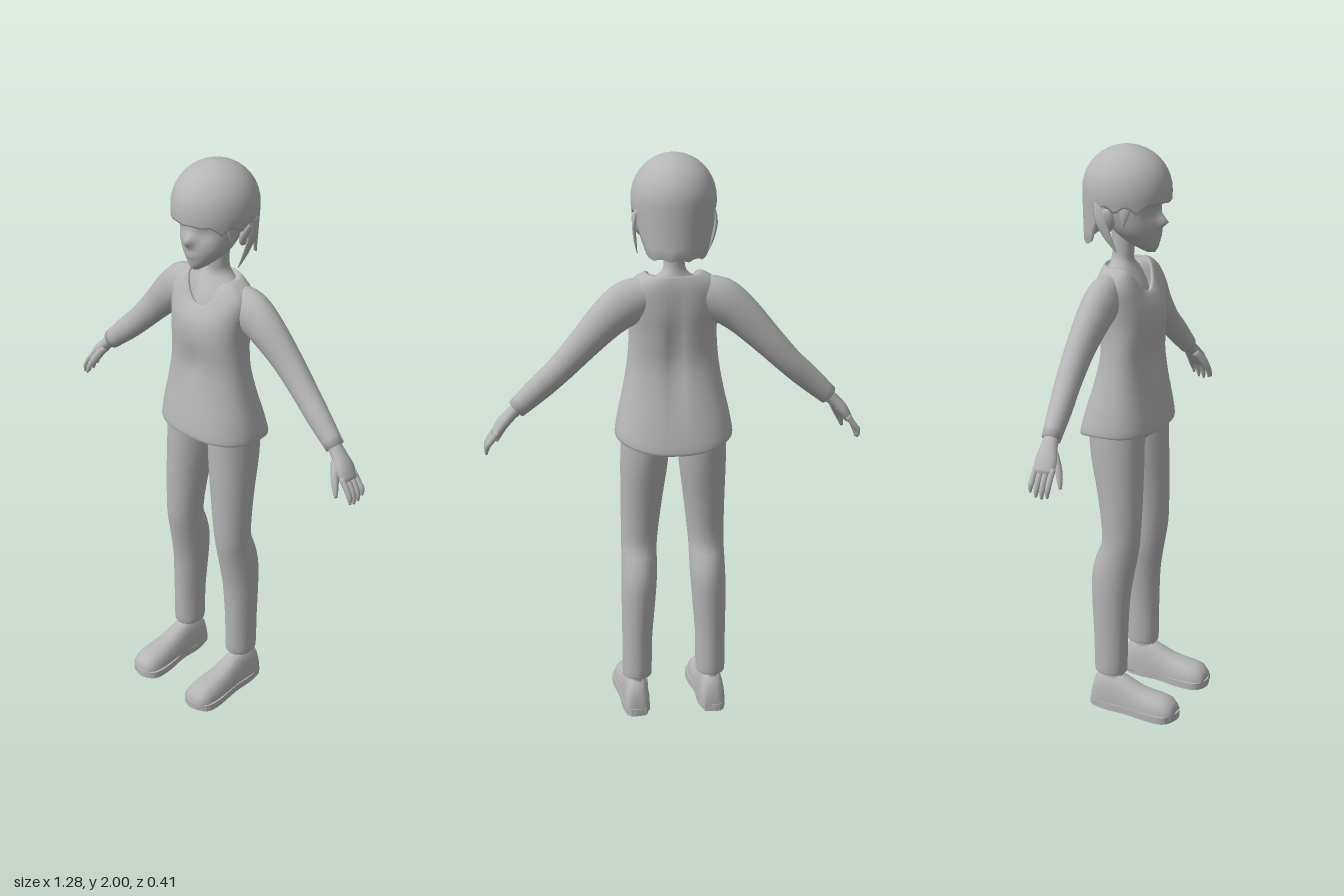
import * as THREE from 'three';

const grey = new THREE.MeshStandardMaterial({ color: 0xb6b6b6, side: THREE.DoubleSide });
grey.name = 'plain grey';
const V = (x, y, z) => new THREE.Vector3(x, y, z);
const spow = (v, p) => Math.sign(v) * Math.abs(v) ** p;
const bell = (v, c, w) => Math.exp(-(((v - c) / w) ** 2));

// Skin a list of closed rings, with a fan at either end
function loft(name, rings) {
  const n = rings[0].length, pos = [], idx = [];
  rings.forEach(r => r.forEach(p => pos.push(p.x, p.y, p.z)));
  for (let i = 0; i < rings.length - 1; i++)
    for (let j = 0; j < n; j++) {
      const a = i * n + j, b = i * n + (j + 1) % n;
      idx.push(a, b, b + n, a, b + n, a + n);
    }
  [0, rings.length - 1].forEach((i, end) => {
    const c = rings[i].reduce((s, p) => s.add(p), V(0, 0, 0)).divideScalar(n);
    const k = pos.length / 3;
    pos.push(c.x, c.y, c.z);
    for (let j = 0; j < n; j++) {
      const a = i * n + j, b = i * n + (j + 1) % n;
      if (end) idx.push(a, b, k);
      else idx.push(b, a, k);
    }
  });
  const g = new THREE.BufferGeometry();
  g.setAttribute('position', new THREE.Float32BufferAttribute(pos, 3));
  g.setIndex(idx);
  g.computeVertexNormals();
  const m = new THREE.Mesh(g, grey);
  m.name = name;
  return m;
}

// Smoothly fill in rows of numbers (all of one length) between the given ones
function dense(rows, steps) {
  const out = [], at = i => rows[Math.min(Math.max(i, 0), rows.length - 1)];
  for (let i = 0; i < rows.length - 1; i++)
    for (let s = 0; s < steps; s++) {
      const t = s / steps;
      out.push(at(i).map((b, k) => {
        const a = at(i - 1)[k], c = at(i + 1)[k], d = at(i + 2)[k];
        return b + 0.5 * t * (c - a + t * (2 * a - 5 * b + 4 * c - d + t * (3 * (b - c) + d - a)));
      }));
    }
  out.push(rows[rows.length - 1]);
  return out;
}

// Upright form: rows of [y, x centre, half width, front z, back z, front dip, back dip]
function upright(name, rows, { n = 32, pow = 1, shape } = {}) {
  const full = rows.map(([y, xc, rx, zf, zb, df = 0, db = 0]) => [y, xc, rx, zf, zb, df, db]);
  return loft(name, dense(full, 3).map(([y, xc, rx, zf, zb, df, db]) =>
    Array.from({ length: n }, (_, j) => {
      const a = (j / n) * Math.PI * 2, c = Math.cos(a);
      const p = V(xc + rx * spow(Math.sin(a), pow),
        y - df * Math.max(c, 0) ** 3 - db * Math.max(-c, 0) ** 2,
        (zf + zb) / 2 + (zf - zb) / 2 * spow(c, pow));
      if (shape) shape(p, c);
      return p;
    })));
}

// Limb along a path: rows of [x, y, z, radius across, radius along z]
function limb(name, rows, s, n = 16) {
  const d = dense(rows.map(([x, ...r]) => [x * s, ...r]), 3);
  return loft(name, d.map((r, i) => {
    const q = d[Math.min(i + 1, d.length - 1)], o = d[Math.max(i - 1, 0)];
    const t = V(q[0] - o[0], q[1] - o[1], q[2] - o[2]).normalize();
    const u = V(0, 0, 1).addScaledVector(t, -t.z).normalize();
    const v = t.clone().cross(u);
    return Array.from({ length: n }, (_, j) => {
      const a = (j / n) * Math.PI * 2;
      return V(r[0], r[1], r[2]).addScaledVector(u, Math.cos(a) * r[4]).addScaledVector(v, Math.sin(a) * r[3]);
    });
  }));
}

// Lower edge of the hair: fringe, temple, then long at the back
function hemHeight(a) {
  const jag = Math.abs(Math.sin(a * 6.5));
  if (a < 0.7) return 1.822 + 0.004 * jag;
  if (a < 1.8) return 1.795 + 0.025 * jag;
  return THREE.MathUtils.lerp(1.80, 1.672, Math.min((a - 1.8) / 0.4, 1)) + 0.01 * jag;
}

function makeHair() {
  const n = 72;
  const ring = (height, k) => Array.from({ length: n }, (_, j) => {
    const a = (j / n) * Math.PI * 2, y = height(hemHeight(Math.min(a, Math.PI * 2 - a)));
    const up = Math.max(y - 1.855, 0) / 0.145, low = Math.max(1.84 - y, 0);
    const r = k * Math.sqrt(Math.max(1 - up * up, 0));
    return V(r * (0.14 - low * 0.12) * Math.sin(a), y, -0.052 + r * 0.15 * Math.cos(a));
  });
  const rings = [ring(() => 1.86, 0.88), ring(h => h + 0.004, 0.94)];
  for (let i = 0; i <= 5; i++) rings.push(ring(h => h + (1.855 - h) * i / 5, 1));
  for (let i = 1; i <= 10; i++) rings.push(ring(() => 1.855 + 0.145 * Math.sin(i / 10 * Math.PI / 2 * 0.995), 1));
  return loft('hair', rings);
}

// Shoe upper: sections along z of [z, x centre, half width, top]
function makeShoe(s) {
  const rows = [[-0.125, 0.135, 0.025, 0.05], [-0.11, 0.135, 0.043, 0.115], [-0.06, 0.135, 0.046, 0.142],
    [0, 0.135, 0.047, 0.125], [0.06, 0.136, 0.052, 0.098], [0.12, 0.136, 0.058, 0.085],
    [0.17, 0.136, 0.054, 0.073], [0.197, 0.135, 0.034, 0.045]];
  return loft('shoe', dense(rows, 2).map(([z, xc, w, top]) => Array.from({ length: 20 }, (_, j) => {
    const a = (j / 20) * Math.PI * 2, h = Math.sin(a);
    return V(s * xc + w * spow(Math.cos(a), 0.75), 0.015 + (h > 0 ? (top - 0.015) * h ** 0.9 : 0.012 * h), z);
  })));
}

function makeSole(s) {
  const outline = [[0.105, 0.125], [0.165, 0.125], [0.184, 0.06], [0.186, -0.02], [0.199, -0.12],
    [0.192, -0.175], [0.15, -0.2], [0.11, -0.2], [0.075, -0.17], [0.074, -0.1], [0.088, -0.02], [0.088, 0.06]];
  const curve = new THREE.SplineCurve([...outline, outline[0]].map(p => new THREE.Vector2(p[0] * s, p[1])));
  const g = new THREE.ExtrudeGeometry(new THREE.Shape(curve.getPoints(40)), { depth: 0.026, bevelEnabled: false });
  g.rotateX(-Math.PI / 2);
  const m = new THREE.Mesh(g, grey);
  m.name = 'sole';
  return m;
}

export function createModel() {
  const model = new THREE.Group();
  model.name = 'figure';

  // Head, with nose, lips and eye hollows pressed into the face
  const head = new THREE.Group();
  head.name = 'head';
  head.add(upright('face', [
    [1.652, 0, 0.012, 0.048, 0.015], [1.668, 0, 0.034, 0.058, -0.02], [1.695, 0, 0.064, 0.063, -0.06],
    [1.73, 0, 0.09, 0.067, -0.1], [1.77, 0, 0.104, 0.068, -0.13], [1.81, 0, 0.111, 0.066, -0.15],
    [1.86, 0, 0.115, 0.073, -0.16], [1.92, 0, 0.09, 0.04, -0.13]], {
    n: 48, shape: (p, c) => {
      if (c < 0) return;
      p.z += 0.03 * bell(p.x, 0, 0.014) * bell(p.y, 1.758, 0.018);
      p.z += 0.006 * bell(p.x, 0, 0.02) * bell(p.y, 1.705, 0.01);
      p.z -= 0.008 * bell(Math.abs(p.x), 0.048, 0.025) * bell(p.y, 1.785, 0.025);
    } }), makeHair());
  model.add(head);

  // Neck and upper chest inside the neckline
  model.add(upright('neck', [[1.48, 0, 0.09, 0.03, -0.1], [1.54, 0, 0.095, 0.008, -0.115],
    [1.585, 0, 0.075, -0.018, -0.115], [1.615, 0, 0.042, -0.032, -0.108],
    [1.65, 0, 0.034, -0.03, -0.105], [1.74, 0, 0.036, -0.025, -0.11]]));

  // Tunic with flared hem, scooped neckline and soft folds
  model.add(upright('tunic', [
    [1.07, 0, 0.185, 0.075, -0.17, 0, 0.03], [1.045, 0, 0.192, 0.083, -0.185, 0, 0.035],
    [1.052, 0, 0.2, 0.09, -0.195, 0, 0.035], [1.12, 0, 0.189, 0.08, -0.173, 0, 0.015],
    [1.2, 0, 0.171, 0.066, -0.145], [1.3, 0, 0.154, 0.056, -0.122], [1.4, 0, 0.147, 0.066, -0.126],
    [1.47, 0, 0.152, 0.062, -0.132, 0.01], [1.54, 0, 0.158, 0.046, -0.132, 0.045],
    [1.58, 0, 0.138, 0.036, -0.128, 0.07], [1.606, 0, 0.095, 0.026, -0.12, 0.088],
    [1.598, 0, 0.088, 0.016, -0.113, 0.088]], {
    n: 48, pow: 0.85, shape: (p, c) => {
      if (c > 0) p.z -= 0.01 * bell(p.x, 0, 0.035) * bell(p.y, 1.3, 0.06);
      else p.z += 0.014 * bell(p.x, 0, 0.025) * bell(p.y, 1.33, 0.2);
    } }));

  // Seat of the trousers
  model.add(upright('hips', [[0.985, 0, 0.05, 0.01, -0.09], [1.01, 0, 0.1, 0.035, -0.125],
    [1.06, 0, 0.165, 0.05, -0.15], [1.12, 0, 0.155, 0.05, -0.13]]));

  for (const s of [1, -1]) {
    const side = new THREE.Group();
    side.name = s > 0 ? 'leftSide' : 'rightSide';

    // Leg and foot
    side.add(upright('trouserLeg', [
      [0.15, 0.131, 0.042, -0.012, -0.104], [0.138, 0.131, 0.049, -0.002, -0.113],
      [0.16, 0.131, 0.052, 0.002, -0.117], [0.28, 0.13, 0.053, 0.004, -0.12], [0.42, 0.125, 0.059, 0.01, -0.128],
      [0.51, 0.121, 0.062, 0.023, -0.129], [0.58, 0.119, 0.062, 0.036, -0.112], [0.65, 0.117, 0.063, 0.045, -0.09],
      [0.8, 0.109, 0.072, 0.05, -0.107], [0.95, 0.1, 0.082, 0.051, -0.137], [1.08, 0.095, 0.083, 0.05, -0.15]
    ].map(([y, x, ...r]) => [y, s * x, ...r]), { n: 24 }));
    side.add(upright('ankle', [[0.09, s * 0.134, 0.037, -0.008, -0.108],
      [0.13, s * 0.134, 0.03, -0.008, -0.1], [0.2, s * 0.131, 0.032, -0.015, -0.1]], { n: 16 }));
    side.add(makeShoe(s), makeSole(s));

    // Sleeve, running from inside the shoulder to the cuff
    side.add(limb('sleeve', [[0.08, 1.535, -0.065, 0.06, 0.05], [0.15, 1.512, -0.067, 0.076, 0.058],
      [0.22, 1.462, -0.072, 0.067, 0.055], [0.3, 1.382, -0.08, 0.055, 0.047], [0.385, 1.293, -0.08, 0.046, 0.042],
      [0.45, 1.232, -0.073, 0.043, 0.038], [0.53, 1.158, -0.066, 0.034, 0.031]], s, 20));

    // Hand
    const hand = new THREE.Group();
    hand.name = 'hand';
    hand.add(limb('palm', [[0.515, 1.172, -0.066, 0.022, 0.024], [0.55, 1.138, -0.063, 0.021, 0.029],
      [0.58, 1.104, -0.058, 0.021, 0.038], [0.605, 1.068, -0.056, 0.014, 0.036]], s, 14));
    [0.016, 0.003, 0, 0.006].forEach((lift, f) => {
      const z = -0.086 + f * 0.02;
      hand.add(limb('finger', [[0.595, 1.085, z, 0.01, 0.01], [0.62, 1.05, z, 0.01, 0.01],
        [0.633, 1.018 + lift, z, 0.009, 0.009], [0.636, 0.996 + lift, z, 0.004, 0.004]], s, 8));
    });
    hand.add(limb('thumb', [[0.55, 1.125, -0.045, 0.014, 0.014], [0.572, 1.085, -0.02, 0.014, 0.013],
      [0.588, 1.05, -0.006, 0.011, 0.01], [0.597, 1.022, 0, 0.005, 0.005]], s, 8));
    side.add(hand);

    // Ear and thin locks of hair beside the face
    const ear = new THREE.Mesh(new THREE.SphereGeometry(1, 14, 10), grey);
    ear.name = 'ear';
    ear.scale.set(0.014, 0.04, 0.025);
    ear.position.set(s * 0.122, 1.775, -0.065);
    ear.rotation.z = -s * 0.3;
    side.add(ear);
    side.add(limb('sideLock', [[0.125, 1.83, -0.09, 0.006, 0.025], [0.134, 1.78, -0.085, 0.006, 0.022],
      [0.128, 1.72, -0.062, 0.005, 0.015], [0.118, 1.668, -0.035, 0.001, 0.002]], s, 8));
    side.add(limb('templeLock', [[0.118, 1.85, 0, 0.006, 0.022], [0.12, 1.8, -0.005, 0.006, 0.017],
      [0.113, 1.75, -0.015, 0.001, 0.002]], s, 8));
    model.add(side);
  }
  return model;
}
